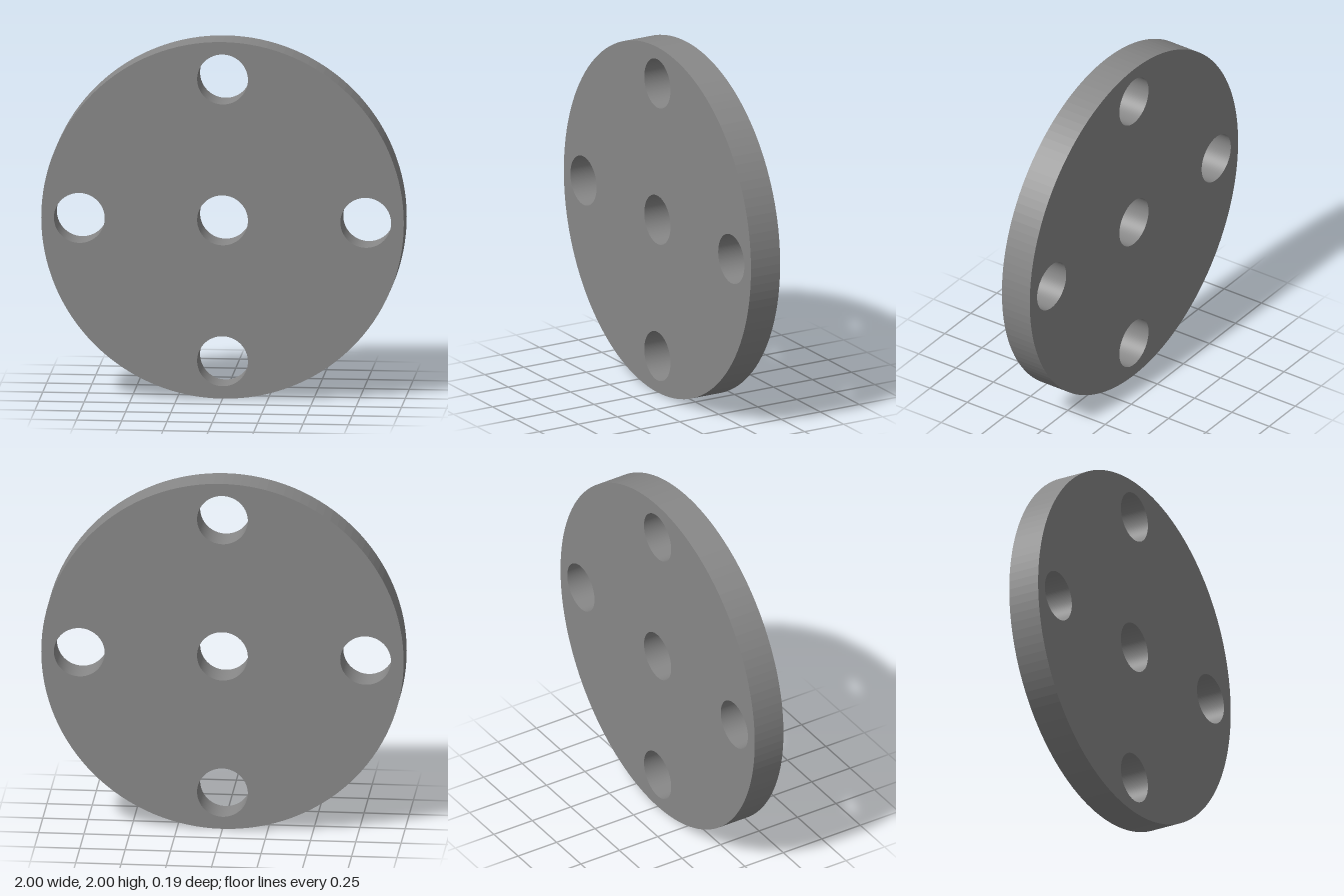
import * as THREE from 'three';

const RADIUS = 1;
const THICKNESS = 0.187;
const HOLE_RADIUS = 0.14;
const HOLE_OFFSET = 0.79;

export function createModel() {
  const group = new THREE.Group();
  group.name = 'drilledDisc';

  // Round plate outline
  const outline = new THREE.Shape();
  outline.absarc(0, 0, RADIUS, 0, Math.PI * 2, false);

  const drill = (x, y) => {
    const hole = new THREE.Path();
    hole.absarc(x, y, HOLE_RADIUS, 0, Math.PI * 2, true);
    outline.holes.push(hole);
  };

  // Centre bore and four holes around it
  drill(0, 0);
  for (let i = 0; i < 4; i++) {
    const angle = (i * Math.PI) / 2;
    drill(HOLE_OFFSET * Math.cos(angle), HOLE_OFFSET * Math.sin(angle));
  }

  const geometry = new THREE.ExtrudeGeometry(outline, {
    depth: THICKNESS,
    bevelEnabled: false,
    curveSegments: 64,
  });
  geometry.translate(0, RADIUS, -THICKNESS / 2);

  const plate = new THREE.Mesh(
    geometry,
    new THREE.MeshStandardMaterial({ color: 0x888888, flatShading: true }),
  );
  plate.name = 'plate';
  group.add(plate);
  return group;
}
